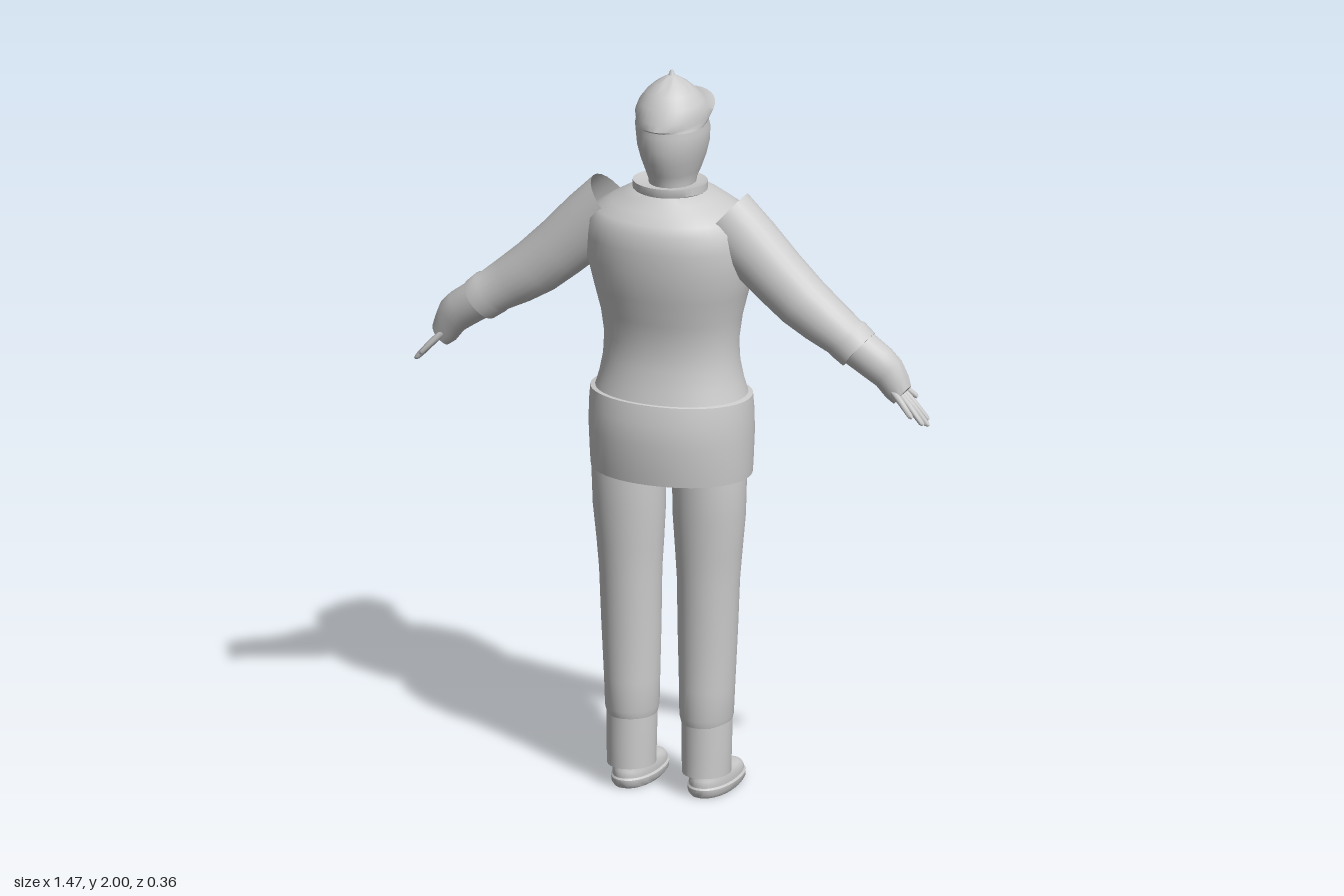
import * as THREE from 'three';
import { toCreasedNormals } from 'three/addons/utils/BufferGeometryUtils.js';

const cloth = new THREE.MeshStandardMaterial({ color: 0xcccccc, side: THREE.DoubleSide });
cloth.name = 'plain grey';

// Closed loft upward through rings [y, cx, cz, rx, rz, tilt]; tilt raises the -z side; pow squares the rings.
function loft(rings, { sides = 32, pow = 2, capTop = true, mirror = false } = {}) {
  const pos = [], idx = [], n = rings.length;
  const round = v => Math.sign(v) * Math.abs(v) ** (2 / pow);
  for (const [y, cx, cz, rx, rz, tilt = 0] of rings) {
    for (let j = 0; j < sides; j++) {
      const a = j / sides * Math.PI * 2;
      const z = cz + rz * round(Math.sin(a));
      pos.push(cx + rx * round(Math.cos(a)), y - tilt * z, z);
    }
  }
  for (const [y, cx, cz, , , tilt = 0] of [rings[0], rings[n - 1]]) pos.push(cx, y - tilt * cz, cz);
  for (let j = 0; j < sides; j++) {
    const k = (j + 1) % sides, top = (n - 1) * sides;
    for (let i = 0; i < n - 1; i++) {
      const a = i * sides + j, b = i * sides + k;
      idx.push(a, a + sides, b, b, a + sides, b + sides);
    }
    idx.push(n * sides, j, k);
    if (capTop) idx.push(n * sides + 1, top + k, top + j);
  }
  const g = new THREE.BufferGeometry();
  g.setAttribute('position', new THREE.Float32BufferAttribute(pos, 3));
  g.setIndex(idx);
  return g;
}

// Mirrored copy across x = 0, with corners reordered
function mirrored(geometry) {
  const g = geometry.clone().scale(-1, 1, 1);
  const ix = g.index.array;
  for (let i = 0; i < ix.length; i += 3) [ix[i], ix[i + 1]] = [ix[i + 1], ix[i]];
  return g;
}

export function createModel() {
  const model = new THREE.Group();
  const add = (name, g) => {
    const mesh = new THREE.Mesh(toCreasedNormals(g, 0.7), cloth);
    mesh.name = name;
    model.add(mesh);
  };
  const addPair = (name, g) => {
    add('left' + name, g);
    add('right' + name, mirrored(g));
  };

  // Coat: skirt with a step at the waist, then the fitted body and shoulders
  add('coatSkirt', loft([
    [0.89, 0, 0, 0.22, 0.163], [0.92, 0, 0, 0.222, 0.167], [1.0, 0, 0, 0.225, 0.173],
    [1.06, 0, 0, 0.225, 0.17], [1.11, 0, 0, 0.222, 0.158], [1.115, 0, 0, 0.2, 0.15],
  ], { sides: 48, pow: 2.1 }));
  add('coatBody', loft([
    [1.1, 0, 0, 0.212, 0.157], [1.15, 0, 0, 0.197, 0.145], [1.2, 0, 0, 0.187, 0.135],
    [1.26, 0, 0, 0.184, 0.131], [1.33, 0, 0, 0.193, 0.143], [1.4, 0, 0, 0.21, 0.163],
    [1.48, 0, 0, 0.23, 0.177], [1.54, 0, 0, 0.23, 0.18], [1.59, 0, 0, 0.225, 0.178],
    [1.615, 0, 0, 0.205, 0.165], [1.64, 0, 0, 0.165, 0.14], [1.66, 0, 0, 0.13, 0.12],
    [1.68, 0, 0.005, 0.09, 0.095],
  ], { sides: 48, pow: 2.1 }));
  add('collar', loft([
    [1.665, 0, 0.01, 0.088, 0.09, -0.03], [1.676, 0, 0.01, 0.1, 0.097, -0.03],
    [1.697, 0, 0.01, 0.1, 0.097, -0.03], [1.69, 0, 0.01, 0.075, 0.075, -0.03],
  ]));

  // Head and nose
  add('head', loft([
    [1.66, 0, 0.0, 0.06, 0.065], [1.7, 0, -0.008, 0.062, 0.077], [1.725, 0, -0.013, 0.071, 0.093],
    [1.76, 0, -0.013, 0.083, 0.107], [1.8, 0, -0.012, 0.093, 0.117],
    [1.84, 0, -0.008, 0.097, 0.113], [1.88, 0, 0, 0.09, 0.1],
  ]));
  const nose = new THREE.SphereGeometry(1, 12, 8).scale(0.013, 0.025, 0.02);
  add('nose', nose.translate(0, 1.805, -0.124));

  // Peaked cap: tilted rim drawn forward into the brim, domed crown with a small tip
  add('cap', loft([
    [1.855, 0, 0.008, 0.094, 0.1], [1.877, 0, -0.027, 0.098, 0.139, 0.16],
    [1.897, 0, 0, 0.096, 0.106, 0.18], [1.92, 0, 0, 0.086, 0.093, 0.08],
    [1.945, 0, 0, 0.067, 0.07], [1.965, 0, 0, 0.045, 0.046], [1.98, 0, 0, 0.022, 0.022],
    [1.987, 0, 0, 0.009, 0.009], [2.0, 0, 0, 0.004, 0.004],
  ]));

  // Arms: lofted along their own axis, then tilted to hang outward
  const armAngle = 0.863;
  const arm = (rings, opts) => loft(rings, { sides: 24, ...opts }).rotateZ(armAngle);
  addPair('Sleeve', arm([
    [0.43, 1.334, 0.015, 0.061, 0.058], [0.47, 1.333, 0.015, 0.064, 0.059], [0.48, 1.331, 0.015, 0.061, 0.058],
    [0.55, 1.322, 0.015, 0.07, 0.063], [0.625, 1.316, 0.015, 0.077, 0.068],
    [0.72, 1.318, 0.015, 0.082, 0.071], [0.83, 1.325, 0.016, 0.088, 0.075],
    [0.93, 1.33, 0.017, 0.09, 0.077],
  ], { capTop: false }));
  addPair('Glove', arm([
    [0.265, 1.322, 0, 0.034, 0.03], [0.29, 1.329, 0, 0.043, 0.037], [0.33, 1.343, 0.006, 0.049, 0.042],
    [0.37, 1.343, 0.01, 0.053, 0.048], [0.44, 1.336, 0.014, 0.055, 0.052],
  ]));

  // Four fingers and a thumb: [z at root, z at tip, axis position of root, of tip]
  const digits = [
    [0.026, 0.04, 0.3, 0.2], [0.01, 0.017, 0.3, 0.168], [-0.004, -0.003, 0.3, 0.158],
    [-0.019, -0.024, 0.3, 0.17], [-0.026, -0.056, 0.33, 0.235],
  ];
  digits.forEach(([z0, z1, root, tip], i) => {
    const mTip = 1.322 - (0.27 - tip) * 0.1;
    addPair(i < 4 ? 'Finger' + (i + 1) : 'Thumb', arm([
      [tip, mTip, z1, 0.004, 0.004], [tip + 0.008, mTip, z1, 0.0075, 0.0075],
      [(tip + root) / 2, 1.32, (z0 + z1) / 2, 0.009, 0.0085], [root, 1.324, z0, 0.01, 0.009],
    ], { sides: 10 }));
  });

  // Trouser legs
  addPair('TrouserLeg', loft([
    [0.2, 0.106, 0.016, 0.066, 0.074], [0.22, 0.106, 0.016, 0.071, 0.079], [0.3, 0.107, 0.015, 0.074, 0.077],
    [0.45, 0.109, 0.015, 0.08, 0.078], [0.6, 0.111, 0.015, 0.084, 0.082],
    [0.68, 0.112, 0.015, 0.09, 0.086], [0.78, 0.114, 0.017, 0.098, 0.091],
    [0.88, 0.115, 0.018, 0.1, 0.094], [0.98, 0.112, 0.015, 0.098, 0.094],
  ]));

  // Boot shafts and shoes with a thin projecting sole
  addPair('BootShaft', loft([
    [0.06, 0.107, 0.018, 0.064, 0.072], [0.12, 0.107, 0.018, 0.066, 0.071],
    [0.195, 0.107, 0.016, 0.067, 0.073], [0.212, 0.107, 0.016, 0.067, 0.073],
  ]));
  addPair('Shoe', loft([
    [0.015, 0.109, -0.047, 0.057, 0.122], [0.035, 0.109, -0.045, 0.058, 0.123],
    [0.047, 0.109, -0.04, 0.057, 0.115], [0.058, 0.109, -0.028, 0.054, 0.098],
    [0.067, 0.108, -0.005, 0.05, 0.075], [0.08, 0.108, 0.01, 0.045, 0.058],
  ], { pow: 2.2 }));
  addPair('Sole', loft([
    [0, 0.109, -0.046, 0.054, 0.118], [0.01, 0.109, -0.047, 0.061, 0.127],
    [0.024, 0.109, -0.047, 0.062, 0.128], [0.03, 0.109, -0.047, 0.057, 0.123],
  ], { pow: 2.2 }));

  return model;
}
